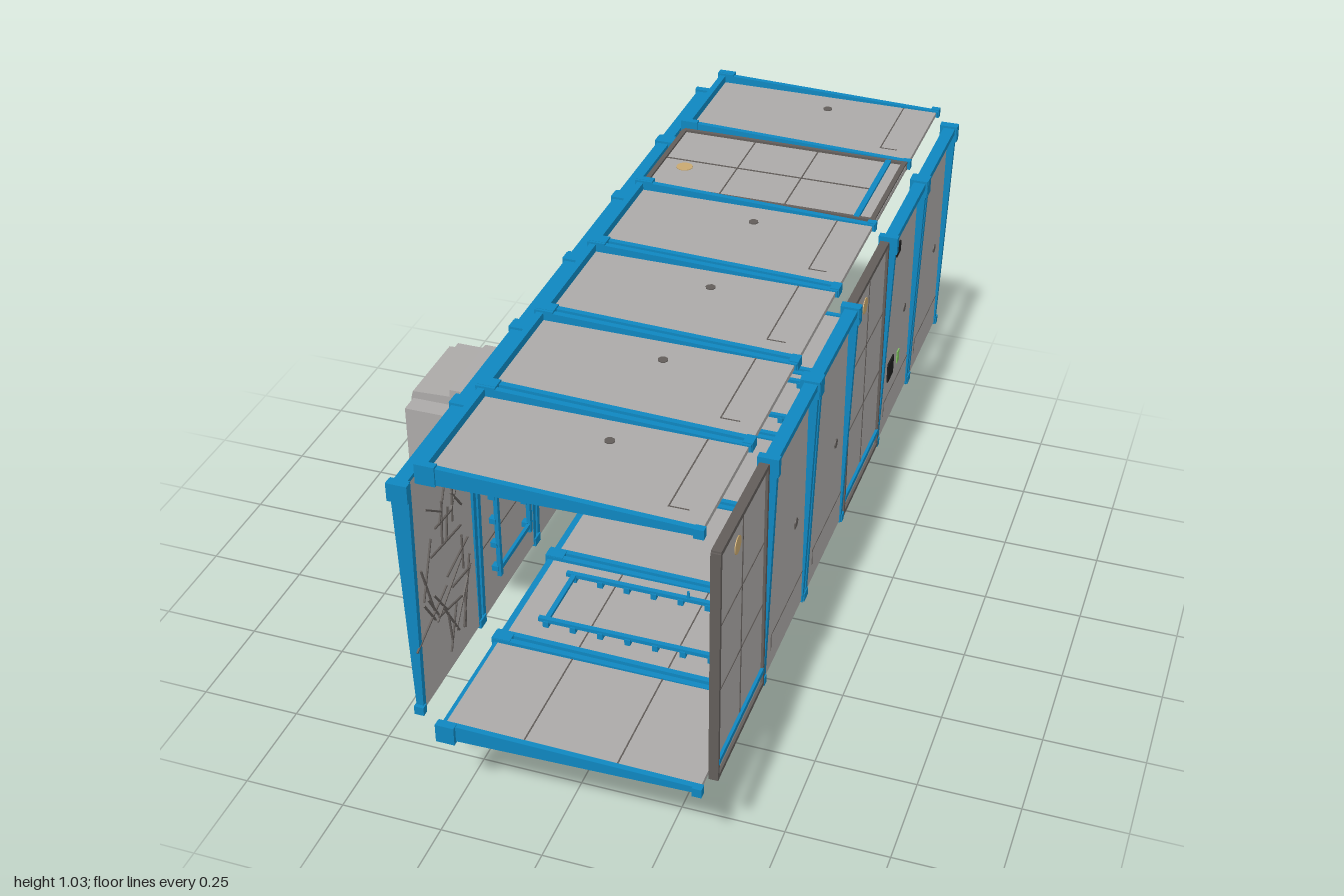
import * as THREE from 'three';

const mat = (name, color) => {
  const m = new THREE.MeshStandardMaterial({ color });
  m.name = name;
  return m;
};
const M = {
  grey: mat('panel grey', 0xacaaa8),
  blue: mat('frame blue', 0x0f87c0),
  dark: mat('seam grey', 0x625d5a),
  black: mat('rubber black', 0x1c1c1c),
  tan: mat('straw tan', 0xd2b071),
  amber: mat('lamp amber', 0xc8a870),
  green: mat('lamp green', 0x7fc060),
};

// Panel frame: u runs from the thick edge to the thin edge, w points outward, z along the hull.
function add(group, name, geometry, material) {
  const mesh = new THREE.Mesh(geometry, material);
  mesh.name = name;
  group.add(mesh);
  return mesh;
}
function box(group, name, material, u0, u1, w0, w1, z0, z1) {
  const mesh = add(group, name, new THREE.BoxGeometry(u1 - u0, w1 - w0, z1 - z0), material);
  mesh.position.set((u0 + u1) / 2, (w0 + w1) / 2, (z0 + z1) / 2);
  return mesh;
}
function extrude(points, depth) {
  const shape = new THREE.Shape(points.map(p => new THREE.Vector2(...p)));
  return new THREE.ExtrudeGeometry(shape, { depth, bevelEnabled: false }).translate(0, 0, -depth / 2);
}

const HALF = 0.16;   // half length of one bay
const PITCH = 0.334; // bay spacing
const END = 0.615;

// Tapered beams at both ends of a bay, with a rail along the thick edge
function taperFrame(g) {
  const beam = extrude([[0, -0.015], [0.045, -0.015], [0.62, -0.007], [0.62, 0.009],
    [0.045, 0.026], [0.045, 0.03], [0, 0.03]], 0.014);
  for (const s of [-1, 1]) {
    add(g, 'taperedBeam', beam, M.blue).position.z = s * (HALF - 0.005);
    box(g, 'cornerBlock', M.blue, 0, 0.045, -0.017, 0.031, s * HALF - 0.011, s * HALF + 0.006);
    box(g, 'footBlock', M.blue, 0.6, 0.622, -0.011, 0.012, s * HALF - 0.011, s * HALF + 0.006);
  }
  box(g, 'edgeRail', M.blue, 0.006, 0.022, -0.006, 0.025, -HALF, HALF);
}

// Plated bay: dark border, cross seams and a blue kick bar
function gridFrame(g) {
  for (const s of [-1, 1]) {
    box(g, 'borderStrip', M.dark, 0.012, END, -0.01, 0.012, s * HALF - 0.006, s * HALF + 0.004);
  }
  for (const u of [0.014, 0.608]) box(g, 'borderStrip', M.dark, u - 0.006, u + 0.006, -0.01, 0.012, -HALF, HALF);
  box(g, 'kickBar', M.blue, 0.56, 0.574, 0, 0.013, -HALF, HALF);
  box(g, 'longSeam', M.dark, 0.02, 0.56, 0.0055, 0.0075, -0.003, 0.001);
  for (const u of [0.21, 0.38]) box(g, 'crossSeam', M.dark, u - 0.0015, u + 0.0015, 0.0055, 0.0075, -HALF, HALF);
  const lamp = add(g, 'lamp', new THREE.CylinderGeometry(0.021, 0.021, 0.003, 16), M.amber);
  lamp.position.set(0.08, 0.0065, 0.035);
}

// Inner ladder of bars, posts and a handle
function ladder(g) {
  for (const z of [-0.09, 0.09]) {
    box(g, 'ladderBar', M.blue, 0.08, 0.53, -0.028, -0.018, z - 0.006, z + 0.006);
    for (let i = 0; i < 7; i++) {
      const u = 0.1 + i * 0.068;
      box(g, 'ladderPost', M.blue, u - 0.007, u + 0.007, -0.022, -0.004, z - 0.009, z + 0.009);
    }
  }
  for (const u of [0.1, 0.51]) box(g, 'ladderRung', M.blue, u - 0.006, u + 0.006, -0.027, -0.019, -0.09, 0.09);
  const knob = add(g, 'handle', new THREE.CylinderGeometry(0.005, 0.003, 0.02, 8), M.blue);
  knob.position.set(0.39, -0.036, 0.09);
}

// Random thin strips crossing the inner face
function web(g, material, count, seed) {
  const rnd = () => (seed = (seed * 16807) % 2147483647) / 2147483647;
  for (let i = 0; i < count; i++) {
    const length = 0.08 + rnd() * 0.1;
    const strip = add(g, 'webStrip', new THREE.BoxGeometry(length, 0.004, 0.004), material);
    strip.position.set(0.09 + rnd() * 0.44, -0.009, (rnd() - 0.5) * 0.2);
    strip.rotation.y = rnd() * Math.PI;
  }
}

// Small surface details on plain bays
function plainDetails(g) {
  box(g, 'lowerSeam', M.dark, 0.525, 0.528, 0.0055, 0.007, -0.15, 0.1);
  box(g, 'lowerSeam', M.dark, 0.525, 0.57, 0.0055, 0.007, 0.1, 0.103);
  box(g, 'innerSeam', M.dark, 0.2, 0.203, -0.0075, -0.0055, -0.15, 0.15);
  box(g, 'innerSeam', M.dark, 0.42, 0.423, -0.0075, -0.0055, -0.15, 0.15);
  add(g, 'vent', new THREE.CylinderGeometry(0.012, 0.012, 0.004, 8), M.dark).position.set(0.335, 0.0065, -0.075);
}

// Floor hatch with crossed braces
function hatch(g) {
  const hole = (r, w, material, y) => {
    const c = r * 0.55;
    const geo = extrude([[-r, -c], [-c, -r], [c, -r], [r, -c], [r, c], [c, r], [-c, r], [-r, c]], w);
    const mesh = add(g, 'hatchPlate', geo.rotateX(Math.PI / 2), material);
    mesh.position.set(0.32, y, 0);
  };
  hole(0.115, 0.004, M.black, 0.007);
  hole(0.106, 0.004, M.grey, 0.009);
  for (const a of [0.7, -0.7]) {
    const brace = add(g, 'hatchBrace', new THREE.BoxGeometry(0.13, 0.004, 0.008), M.blue);
    brace.position.set(0.32, 0.013, 0);
    brace.rotation.y = a;
  }
}

// Six bays per side: b framed, g plated, l framed with ladder, w cracked blue,
// t straw lined, h hatch, s solid blue underside
function makeSide(name, bays, uDir, wDir, flip, origin) {
  const side = new THREE.Group();
  side.name = name;
  const zDir = new THREE.Vector3(0, 0, flip);
  const basis = new THREE.Matrix4().makeBasis(new THREE.Vector3(...uDir), new THREE.Vector3(...wDir), zDir);
  side.quaternion.setFromRotationMatrix(basis);
  side.position.set(...origin);
  [...bays].forEach((kind, i) => {
    const g = new THREE.Group();
    g.name = name + 'Bay' + (i + 1);
    g.position.z = flip * (0.835 - PITCH * i);
    box(g, 'panel', M.grey, 0.015, END, -0.006, 0.006, -HALF, HALF);
    if (kind === 'g') gridFrame(g); else taperFrame(g);
    if ('bl'.includes(kind)) plainDetails(g);
    if (kind === 'l') ladder(g);
    if (kind === 'h') hatch(g);
    if ('ws'.includes(kind)) box(g, 'outerPlate', M.blue, 0.022, 0.6, 0.005, 0.009, -0.148, 0.148);
    if (kind === 'w') {
      web(g, M.dark, 26, 17);
      for (const u of [0.15, 0.3, 0.45]) box(g, 'plateSeam', M.dark, u, u + 0.004, 0.008, 0.011, -0.14, 0.14);
      for (const z of [-0.06, 0.06]) box(g, 'plateSeam', M.dark, 0.03, 0.59, 0.008, 0.011, z, z + 0.004);
    }
    if (kind === 't') {
      box(g, 'strawLining', M.tan, 0.02, 0.6, -0.01, -0.005, -0.145, 0.145);
      web(g, M.dark, 45, 91);
    }
    side.add(g);
  });
  return side;
}

export function createModel() {
  const model = new THREE.Group();
  model.name = 'explodedContainer';

  // Hull sides
  model.add(makeSide('roof', 'blbbgb', [1, 0, 0], [0, 1, 0], 1, [-0.24, 0.998, 0]));
  model.add(makeSide('floor', 'blhslb', [1, 0, 0], [0, -1, 0], -1, [-0.24, 0.312, 0]));
  const left = makeSide('leftWall', 'gbbglb', [0, -1, 0], [1, 0, 0], 1, [0.405, 0.97, 0]);
  model.add(left);
  model.add(makeSide('rightWall', 'wlbblt', [0, -1, 0], [-1, 0, 0], -1, [-0.275, 0.97, 0]));

  // Left wall fittings
  box(left, 'blackVent', M.black, 0.42, 0.475, 0.004, 0.01, -0.475, -0.42);
  box(left, 'smallVent', M.black, 0.08, 0.11, 0.004, 0.01, -0.475, -0.435);
  box(left, 'greenLamp', M.green, 0.44, 0.475, 0.004, 0.009, -0.54, -0.52);
  box(left, 'smallVent', M.dark, 0.33, 0.345, 0.004, 0.009, 0.42, 0.44);

  // Outboard cabinet on the right wall
  const cabinet = new THREE.Group();
  cabinet.name = 'cabinet';
  const body = extrude([[-0.44, 0.59], [-0.282, 0.59], [-0.282, 0.94], [-0.345, 0.94],
    [-0.345, 0.922], [-0.435, 0.918], [-0.44, 0.9]], 0.2);
  add(cabinet, 'cabinetBody', body, M.grey).position.z = 0.5;
  for (const s of [-1, 1]) {
    box(cabinet, 'cabinetCheek', M.grey, -0.435, -0.285, 0.64, 0.9, 0.5 + s * 0.12 - 0.025, 0.5 + s * 0.12 + 0.025);
    box(cabinet, 'cabinetSeam', M.dark, -0.436, -0.29, 0.689, 0.692, 0.5 + s * 0.145 - 0.002, 0.5 + s * 0.145 + 0.002);
  }
  model.add(cabinet);

  // Ring and bracket below the hatch
  const ring = new THREE.Group();
  ring.name = 'floorRing';
  const profile = [[0.072, 0], [0.11, 0], [0.11, 0.047], [0.072, 0.047], [0.072, 0]];
  const geo = new THREE.LatheGeometry(profile.map(p => new THREE.Vector2(...p)), 32).toNonIndexed();
  geo.computeVertexNormals();
  add(ring, 'rubberRing', geo, M.black).position.set(0.075, 0, 0.17);
  box(ring, 'crossBar', M.black, -0.145, 0.22, 0.07, 0.095, 0.03, 0.06);
  box(ring, 'sideBar', M.black, 0.19, 0.22, 0.07, 0.09, 0.03, 0.31);
  box(ring, 'sideLip', M.black, 0.186, 0.207, 0.05, 0.072, 0.03, 0.31);
  model.add(ring);

  return model;
}
